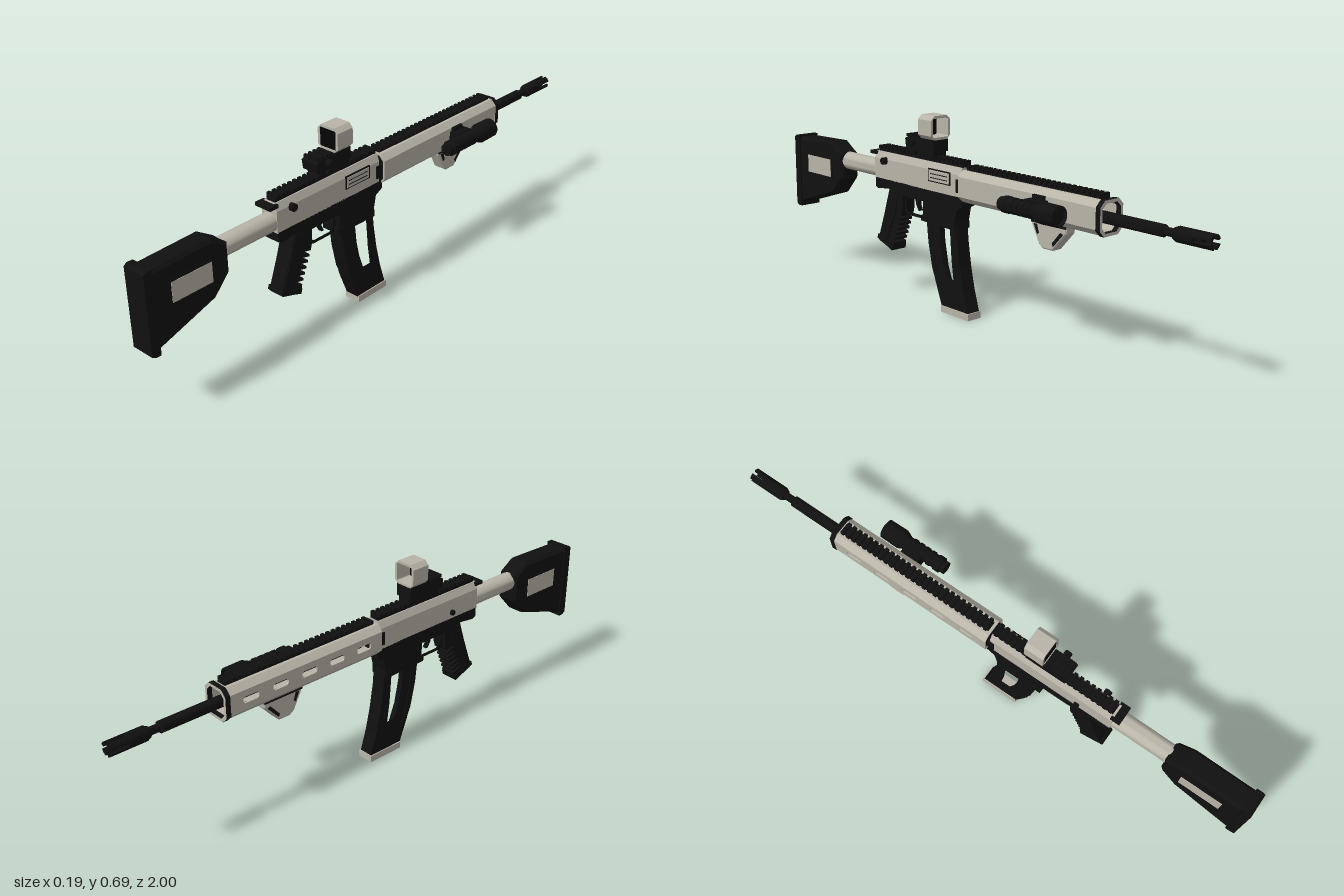
import * as THREE from 'three';
import { toCreasedNormals } from 'three/addons/utils/BufferGeometryUtils.js';

const mat = (name, color) => Object.assign(new THREE.MeshStandardMaterial({ color }), { name });

export function createModel() {
  const black = mat('black polymer', 0x101010);
  const grey = mat('warm grey metal', 0xb8b4a8);
  const dark = mat('dark glass', 0x050505);

  const model = new THREE.Group();
  model.name = 'prop';
  const body = new THREE.Group();
  body.name = 'body';
  body.position.x = -0.043;
  model.add(body);

  const add = (name, geo, m, x = 0, y = 0, z = 0) => {
    const mesh = new THREE.Mesh(geo, m);
    mesh.name = name;
    mesh.position.set(x, y, z);
    body.add(mesh);
    return mesh;
  };
  const box = (name, m, w, h, d, x, y, z) => add(name, new THREE.BoxGeometry(w, h, d), m, x, y, z);
  const shapeOf = (pts) => new THREE.Shape(pts.map(([a, b]) => new THREE.Vector2(a, b)));

  // Side profile in (z, y), extruded across x and centred on the body
  const side = (name, m, pts, width, { bevel = 0, holes = [], x = 0 } = {}) => {
    const s = shapeOf(pts);
    holes.forEach((h) => s.holes.push(shapeOf(h)));
    const depth = width - 2 * bevel;
    const g = new THREE.ExtrudeGeometry(s, {
      depth, bevelEnabled: bevel > 0, bevelSize: bevel, bevelOffset: -bevel,
      bevelThickness: bevel, bevelSegments: 1,
    });
    g.translate(0, 0, -depth / 2).rotateY(-Math.PI / 2);
    return add(name, g, m, x);
  };

  // Turned part along z from [radius, z] points
  const turned = (name, m, pts, x, y, sides = 24) => {
    const g = new THREE.LatheGeometry(pts.map(([r, z]) => new THREE.Vector2(r, z)), sides);
    return add(name, toCreasedNormals(g.rotateX(Math.PI / 2), 0.6), m, x, y);
  };

  // Octagon with clipped corners, counter-clockwise
  const oct = (w, h, c) => [
    [w - c, -h], [w, -h + c], [w, h - c], [w - c, h],
    [-w + c, h], [-w, h - c], [-w, -h + c], [-w + c, -h],
  ];
  const ring = (name, m, outer, inner, depth, y, z) => {
    const s = shapeOf(outer);
    s.holes.push(shapeOf(inner));
    return add(name, new THREE.ExtrudeGeometry(s, { depth, bevelEnabled: false }), m, 0, y, z);
  };

  // Stock, butt plate and side panels
  side('stock', black, [[0.975, 0.255], [0.975, 0.522], [0.75, 0.528], [0.69, 0.49],
    [0.69, 0.39], [0.75, 0.325]], 0.08, { bevel: 0.01 });
  side('buttPlate', black, [[1, 0.25], [1, 0.52], [0.99, 0.528], [0.968, 0.528],
    [0.968, 0.243], [0.985, 0.243]], 0.085);
  for (const s of [-1, 1]) {
    box('stockPanelFrame', black, 0.006, 0.082, 0.165, s * 0.039, 0.425, 0.835);
    box('stockPanel', grey, 0.006, 0.068, 0.15, s * 0.0405, 0.425, 0.835);
  }
  turned('bufferTube', grey, [[0, 0.47], [0.033, 0.47], [0.033, 0.7], [0, 0.7]], 0, 0.461);

  // Upper receiver with a slimmer sloped top
  const upper = shapeOf([[-0.033, 0.43], [0.033, 0.43], [0.033, 0.505], [0.022, 0.53],
    [-0.022, 0.53], [-0.033, 0.505]]);
  add('upperReceiver', new THREE.ExtrudeGeometry(upper, { depth: 0.47, bevelEnabled: false }), grey, 0, 0, 0.018);
  box('chargingHandle', black, 0.066, 0.012, 0.035, 0, 0.523, 0.497);
  box('portFrame', black, 0.004, 0.046, 0.116, 0.033, 0.486, 0.125);
  box('portCover', grey, 0.004, 0.038, 0.106, 0.0345, 0.486, 0.125);
  for (const y of [0.478, 0.492]) box('portSlit', black, 0.003, 0.003, 0.09, 0.0355, y, 0.125);
  const pin = (name, x, y, z, r, len) =>
    add(name, new THREE.CylinderGeometry(r, r, len, 14).rotateZ(Math.PI / 2), black, x, y, z);
  pin('forwardButton', 0.037, 0.5, 0.425, 0.013, 0.022);
  pin('selectorPin', -0.035, 0.455, 0.36, 0.01, 0.014);

  // Lower receiver and flared magazine well
  side('lowerReceiver', black, [[0.485, 0.432], [0.485, 0.398], [0.47, 0.392], [0.41, 0.4], [0.34, 0.385],
    [0.215, 0.385], [0.215, 0.322], [0.05, 0.318], [0.035, 0.385], [0.005, 0.4], [0.005, 0.432]], 0.066);
  side('wellLip', black, [[0.222, 0.315], [0.222, 0.335], [0.046, 0.335], [0.046, 0.31]], 0.07);
  box('receiverJoint', black, 0.076, 0.045, 0.025, 0, 0.468, 0.022);
  box('jointBlock', black, 0.064, 0.035, 0.05, 0, 0.42, 0.03);

  // Trigger guard and trigger
  side('triggerGuard', black, [[0.35, 0.392], [0.34, 0.325], [0.32, 0.315], [0.215, 0.315], [0.215, 0.392]], 0.03,
    { holes: [[[0.335, 0.384], [0.327, 0.334], [0.316, 0.327], [0.226, 0.327], [0.226, 0.384]]] });
  side('trigger', black, [[0.29, 0.39], [0.27, 0.39], [0.272, 0.36], [0.262, 0.338], [0.27, 0.336], [0.284, 0.358]], 0.014);

  // Pistol grip with a toothed front edge
  const gripPts = [[0.41, 0.4], [0.425, 0.35], [0.48, 0.2], [0.475, 0.193], [0.402, 0.17], [0.393, 0.178]];
  for (let i = 0; i < 6; i++) {
    const t = i / 6, z = 0.388 - 0.045 * t, y = 0.2 + 0.115 * t;
    gripPts.push([z, y], [z + 0.04, y + 0.016], [z + 0.039, y + 0.022], [z - 0.006, y + 0.011]);
  }
  gripPts.push([0.338, 0.33], [0.335, 0.39]);
  side('grip', black, gripPts, 0.056);
  side('gripBase', black, [[0.483, 0.203], [0.478, 0.218], [0.392, 0.187], [0.398, 0.169]], 0.064);
  side('gripCore', black, [[0.41, 0.39], [0.47, 0.21], [0.43, 0.2], [0.375, 0.32], [0.36, 0.39]], 0.062);

  // Curved magazine with a window and grey foot
  const magazine = [[0.205, 0.35], [0.196, 0.27], [0.182, 0.19], [0.158, 0.11], [0.123, 0.022],
    [-0.016, 0.022], [0.008, 0.1], [0.026, 0.18], [0.04, 0.27], [0.046, 0.35]];
  side('magazine', black, magazine, 0.052, {
    holes: [[[0.133, 0.31], [0.126, 0.24], [0.113, 0.18], [0.095, 0.13], [0.06, 0.13], [0.07, 0.2], [0.078, 0.31]]],
  });
  side('magazineRib', black, [[0.2, 0.33], [0.19, 0.24], [0.17, 0.15], [0.142, 0.085],
    [0.122, 0.085], [0.148, 0.15], [0.166, 0.24], [0.173, 0.33]], 0.058);
  box('magazineFoot', grey, 0.06, 0.024, 0.142, 0, 0.012, 0.051);

  // Hollow eight-sided handguard, slotted on its right side and underneath
  const section = oct(0.049, 0.054, 0.02);
  const guard = new THREE.Group();
  guard.name = 'handguard';
  guard.position.set(0, 0.471, -0.61);
  body.add(guard);
  section.forEach((p, i) => {
    const q = section[(i + 1) % 8];
    const e = new THREE.Vector3(q[0] - p[0], q[1] - p[1], 0);
    const w = e.length();
    e.normalize();
    const s = shapeOf([[0, 0], [w, 0], [w, 0.62], [0, 0.62]]);
    if (i === 5 || i === 7) {
      for (let k = 0; k < 5; k++) {
        const z = 0.05 + k * 0.115;
        s.holes.push(shapeOf(oct(0.011, 0.03, 0.006).map(([a, b]) => [a + w / 2, b + z + 0.03])));
      }
    }
    const g = new THREE.ExtrudeGeometry(s, { depth: 0.006, bevelEnabled: false }).translate(0, 0, -0.006);
    const axis = new THREE.Vector3(0, 0, 1);
    const n = new THREE.Vector3().crossVectors(e, axis);
    g.applyMatrix4(new THREE.Matrix4().makeBasis(e, axis, n).setPosition(p[0], p[1], 0));
    const panel = new THREE.Mesh(g, grey);
    panel.name = 'handguardPanel';
    guard.add(panel);
  });
  ring('handguardCap', [grey, black], oct(0.051, 0.056, 0.02), oct(0.041, 0.046, 0.017), 0.018, 0.471, -0.626);
  box('handguardRear', black, 0.08, 0.085, 0.006, 0, 0.471, 0.004);

  // Toothed top rails
  const rail = (name, z0, z1, y) => {
    box(name, black, 0.036, 0.012, z1 - z0, 0, y, (z0 + z1) / 2);
    const n = Math.round((z1 - z0) / 0.022);
    for (let i = 0; i < n; i++) {
      box(name + 'Tooth', black, 0.046, 0.012, 0.012, 0, y + 0.009, z0 + (i + 0.5) * (z1 - z0) / n);
    }
  };
  rail('receiverRail', 0.02, 0.48, 0.536);
  rail('handguardRail', -0.602, 0, 0.526);

  // Barrel and pronged muzzle
  turned('barrel', black, [[0, -0.96], [0.013, -0.96], [0.013, -0.83], [0.019, -0.825], [0.019, -0.05], [0, -0.05]], 0, 0.468);
  turned('muzzleBody', black, [[0, -0.94], [0.024, -0.94], [0.024, -0.875], [0.018, -0.862], [0, -0.862]], 0, 0.468);
  for (let i = 0; i < 4; i++) {
    const a = i * Math.PI / 2 + 0.3, b = a + 0.97;
    const s = new THREE.Shape();
    s.absarc(0, 0, 0.024, a, b, false);
    s.absarc(0, 0, 0.014, b, a, true);
    add('muzzleProng', new THREE.ExtrudeGeometry(s, { depth: 0.062, bevelEnabled: false, curveSegments: 6 }), black, 0, 0.468, -1);
  }

  // Sight: mount, housing, knobs, hood and glass
  box('sightClamp', black, 0.056, 0.018, 0.13, 0, 0.557, 0.225);
  side('sightHousing', black, [[0.305, 0.565], [0.31, 0.598], [0.29, 0.608], [0.155, 0.608], [0.155, 0.565]], 0.066);
  for (let i = 0; i < 4; i++) box('sightRib', black, 0.06, 0.01, 0.01, 0, 0.61, 0.3 - i * 0.02);
  pin('sightKnob', 0.042, 0.589, 0.262, 0.013, 0.022);
  pin('clampKnob', 0.033, 0.556, 0.26, 0.009, 0.012);
  ring('sightHood', grey, oct(0.043, 0.042, 0.015), oct(0.034, 0.033, 0.003), 0.07, 0.649, 0.155);
  box('sightGlass', dark, 0.068, 0.066, 0.006, 0, 0.649, 0.22);

  // Side light with a flared head
  turned('sideLight', black, [[0, -0.5], [0.027, -0.5], [0.029, -0.51], [0.034, -0.508], [0.035, -0.44], [0.024, -0.415],
    [0.024, -0.3], [0.028, -0.295], [0.028, -0.275], [0.022, -0.27], [0.022, -0.256], [0, -0.256]], 0.1, 0.468);
  for (let i = 0; i < 4; i++) {
    turned('lightGripRing', black, [[0.02, -0.4 + i * 0.025], [0.027, -0.4 + i * 0.025],
      [0.027, -0.388 + i * 0.025], [0.02, -0.388 + i * 0.025]], 0.1, 0.468);
  }
  box('lightMount', black, 0.04, 0.05, 0.07, 0.066, 0.468, -0.375);
  box('lightMountPlate', black, 0.012, 0.076, 0.05, 0.053, 0.468, -0.375);

  // Hand stop below the handguard
  side('handStop', grey, [[-0.31, 0.42], [-0.312, 0.4], [-0.345, 0.338], [-0.362, 0.327], [-0.405, 0.327],
    [-0.462, 0.39], [-0.465, 0.42]], 0.044, { bevel: 0.004 });
  side('handStopInlay', black, [[-0.405, 0.352], [-0.41, 0.342], [-0.452, 0.388], [-0.44, 0.392]], 0.048);
  side('handStopRearInlay', black, [[-0.325, 0.403], [-0.34, 0.37], [-0.347, 0.376], [-0.338, 0.403]], 0.048);
  box('handStopMount', black, 0.05, 0.012, 0.15, 0, 0.413, -0.388);

  return model;
}
